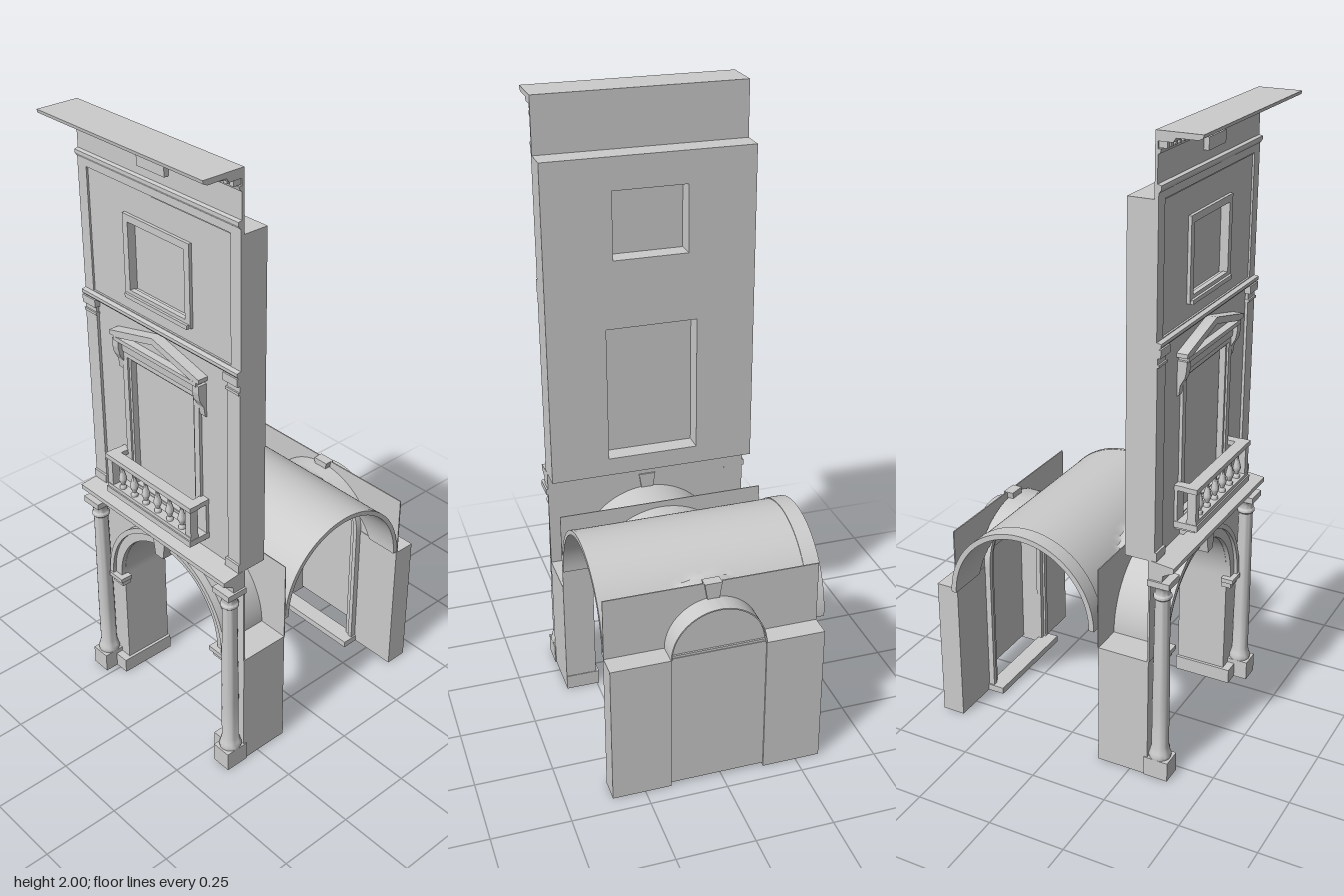
import * as THREE from 'three';
import { toCreasedNormals } from 'three/addons/utils/BufferGeometryUtils.js';

const C = 0.0125, X0 = -0.33, X1 = 0.355; // facade axis and ends
const mat = new THREE.MeshStandardMaterial({ color: 0xcccccc, side: THREE.DoubleSide });

export function createModel() {
  const root = new THREE.Group();
  const add = (name, geo, x = 0, y = 0, z = 0) => {
    const m = new THREE.Mesh(geo, mat);
    m.name = name;
    m.position.set(x, y, z);
    root.add(m);
    return m;
  };
  const box = (name, x0, x1, y0, y1, z0, z1) =>
    add(name, new THREE.BoxGeometry(x1 - x0, y1 - y0, z1 - z0), (x0 + x1) / 2, (y0 + y1) / 2, (z0 + z1) / 2);
  // box given by distances from the axis, on both sides
  const pair = (name, a, b, ...r) => { box(name, C + a, C + b, ...r); box(name, C - b, C - a, ...r); };
  const poly = pts => new THREE.Shape(pts.map(p => new THREE.Vector2(...p)));
  const rect = (x0, x1, y0, y1) => poly([[x0, y0], [x1, y0], [x1, y1], [x0, y1]]);
  const slab = (name, shape, z0, z1) =>
    add(name, toCreasedNormals(new THREE.ExtrudeGeometry(shape, { depth: z1 - z0, bevelEnabled: false, curveSegments: 32 }), 0.6), 0, 0, z0);
  // moulding: [z, y] profile run along x
  const mould = (name, pts, x0 = X0, x1 = X1) =>
    add(name, new THREE.ExtrudeGeometry(poly(pts), { depth: x1 - x0, bevelEnabled: false }).rotateY(-Math.PI / 2), x1);
  const lathe = (name, pts, x, y, z, n = 20) =>
    add(name, toCreasedNormals(new THREE.LatheGeometry(pts.map(p => new THREE.Vector2(...p)), n), 0.7), x, y, z);
  // arch-shaped band with optional straight legs
  const archBand = (name, r0, r1, cy, legY, z0, z1) => {
    const s = new THREE.Shape();
    s.moveTo(C + r1, legY); s.lineTo(C + r1, cy);
    s.absarc(C, cy, r1, 0, Math.PI, false);
    s.lineTo(C - r1, legY); s.lineTo(C - r0, legY); s.lineTo(C - r0, cy);
    s.absarc(C, cy, r0, Math.PI, 0, true);
    s.lineTo(C + r0, legY);
    slab(name, s, z0, z1);
  };
  // wall above the springing, with a half-round opening
  const spandrel = (name, r, y0, y1, z0, z1) => {
    const s = new THREE.Shape();
    s.moveTo(X0, y0); s.lineTo(C - r, y0);
    s.absarc(C, y0, r, Math.PI, 0, true);
    s.lineTo(X1, y0); s.lineTo(X1, y1); s.lineTo(X0, y1);
    slab(name, s, z0, z1);
  };
  const keystone = (y0, y1, z0, z1) =>
    slab('keystone', poly([[C - 0.018, y0], [C + 0.018, y0], [C + 0.028, y1], [C - 0.028, y1]]), z0, z1);
  const frame = (name, hw, y0, y1, t, z0, z1) => {
    const s = rect(C - hw, C + hw, y0, y1);
    s.holes.push(rect(C - hw + t, C + hw - t, y0 + t, y1 - t));
    slab(name, s, z0, z1);
  };

  // Ground floor: front piers, arch and columns
  pair('frontPier', 0.24, 0.3425, 0, 0.41, 0.14, 0.31);
  pair('pierBase', 0.23, 0.3425, 0, 0.05, 0.138, 0.335);
  pair('pierImpost', 0.225, 0.275, 0.375, 0.395, 0.3, 0.332);
  pair('pierImpostTop', 0.218, 0.282, 0.395, 0.41, 0.3, 0.342);
  spandrel('frontSpandrel', 0.24, 0.41, 0.71, 0.306, 0.312);
  spandrel('innerSpandrel', 0.24, 0.41, 0.68, 0.138, 0.141);
  archBand('archSoffit', 0.237, 0.241, 0.41, 0.41, 0.14, 0.31);
  archBand('archivolt', 0.238, 0.283, 0.41, 0.41, 0.31, 0.325);
  archBand('archivoltRim', 0.268, 0.285, 0.41, 0.41, 0.31, 0.336);
  keystone(0.635, 0.7, 0.3, 0.352);
  for (const s of [-1, 1]) {
    const x = C + s * 0.313;
    box('columnPlinth', x - 0.033, x + 0.033, 0, 0.065, 0.3, 0.38);
    lathe('column', [[0.034, 0.065], [0.036, 0.075], [0.032, 0.085], [0.03, 0.095], [0.027, 0.105], [0.027, 0.25],
      [0.023, 0.625], [0.028, 0.63], [0.028, 0.638], [0.024, 0.643], [0.024, 0.66], [0.034, 0.675]], x, 0, 0.34);
    box('columnCapital', x - 0.036, x + 0.036, 0.675, 0.695, 0.305, 0.376);
  }
  mould('entablature', [[0.305, 0.69], [0.35, 0.69], [0.352, 0.715], [0.37, 0.725], [0.387, 0.733], [0.387, 0.748], [0.305, 0.757]]);

  // Vault: barrel along x crossed by lunettes over the front and back arches
  const HZ = 0.252, ZC = -0.115, SY = 0.48;
  const nx = 72, nt = 48, thick = 0.014, pos = [], idx = [];
  for (let i = 0; i <= nx; i++) {
    const x = -0.355 + 0.71 * i / nx;
    const d = (x - C) / 0.245;
    const lun = d * d < 1 ? 0.415 + 0.245 * Math.sqrt(1 - d * d) : 0;
    for (let k = 0; k < 2 * (nt + 1); k++) {
      const inner = k > nt;
      const a = Math.PI * (inner ? 2 * nt + 1 - k : k) / nt;
      const t = inner ? thick : 0;
      pos.push(x, Math.max(SY + (0.258 - t) * Math.sin(a), lun - t), ZC + (HZ - t) * Math.cos(a));
    }
  }
  const ring = 2 * (nt + 1);
  for (let i = 0; i < nx; i++) for (let k = 0; k < ring; k++) {
    const a = i * ring + k, b = i * ring + (k + 1) % ring;
    idx.push(a, b, a + ring, b, b + ring, a + ring);
  }
  const vault = new THREE.BufferGeometry();
  vault.setAttribute('position', new THREE.Float32BufferAttribute(pos, 3));
  vault.setIndex(idx);
  add('vault', toCreasedNormals(vault, 0.5));
  // Ribs closing the two ends of the vault
  const rib = (x0, x1, r) => {
    const s = new THREE.Shape();
    s.absellipse(ZC, SY, HZ + r, 0.258 + r, 0, Math.PI, false);
    s.lineTo(ZC - HZ + thick, SY);
    s.absellipse(ZC, SY, HZ - thick, 0.258 - thick, Math.PI, 0, true);
    const g = new THREE.ExtrudeGeometry(s, { depth: x1 - x0, bevelEnabled: false, curveSegments: 32 });
    add('vaultRib', toCreasedNormals(g.rotateY(-Math.PI / 2), 0.5), x1);
  };
  rib(-0.358, -0.305, 0.003);
  rib(0.345, 0.355, 0.001);

  // Back wall with arched doorway
  pair('backPier', 0.1525, 0.3425, 0, 0.475, -0.443, -0.368);
  spandrel('backSpandrel', 0.152, 0.475, 0.68, -0.374, -0.37);
  archBand('doorReveal', 0.149, 0.153, 0.475, 0.475, -0.443, -0.37);
  archBand('doorArchitrave', 0.148, 0.178, 0.475, 0.02, -0.372, -0.356);
  archBand('doorArchitraveRim', 0.165, 0.18, 0.475, 0.02, -0.372, -0.349);
  keystone(0.62, 0.68, -0.382, -0.348);
  box('doorStep', C - 0.185, C + 0.185, 0, 0.022, -0.37, -0.312);
  box('doorPanel', C - 0.153, C + 0.153, 0.01, 0.478, -0.438, -0.434);
  box('doorTransom', C - 0.15, C + 0.15, 0.47, 0.486, -0.436, -0.42);
  const lunette = new THREE.Shape();
  lunette.absarc(C, 0.475, 0.15, 0, Math.PI, false);
  slab('lunettePanel', lunette, -0.43, -0.426);

  // Upper storeys: thick wall with two window openings
  const wall = rect(X0, X1, 0.755, 1.82);
  wall.holes.push(rect(C - 0.15, C + 0.15, 0.815, 1.27), rect(C - 0.122, C + 0.122, 1.495, 1.715));
  slab('upperWall', wall, 0.23, 0.316);
  box('windowPane', C - 0.15, C + 0.15, 0.815, 1.27, 0.292, 0.298);
  box('atticWindowPane', C - 0.122, C + 0.122, 1.495, 1.715, 0.292, 0.298);

  // Middle storey: pilasters, window surround, pediment
  pair('pilaster', 0.29, 0.3425, 0.757, 1.385, 0.31, 0.325);
  pair('pilasterBase', 0.285, 0.3425, 0.757, 0.785, 0.31, 0.332);
  pair('pilasterNeck', 0.287, 0.3425, 1.355, 1.363, 0.31, 0.33);
  pair('pilasterCapital', 0.283, 0.3425, 1.383, 1.408, 0.31, 0.335);
  frame('windowFrame', 0.172, 0.8, 1.29, 0.022, 0.31, 0.326);
  frame('windowFrameInner', 0.155, 0.812, 1.275, 0.014, 0.3, 0.32);
  mould('windowEntablature', [[0.31, 1.285], [0.33, 1.285], [0.332, 1.31], [0.348, 1.322], [0.348, 1.335], [0.31, 1.337]], C - 0.185, C + 0.185);
  slab('pedimentField', poly([[C - 0.18, 1.335], [C + 0.18, 1.335], [C, 1.385]]), 0.31, 0.325);
  slab('pedimentRake', poly([[C - 0.2, 1.337], [C - 0.165, 1.337], [C, 1.379], [C + 0.165, 1.337], [C + 0.2, 1.337],
    [C + 0.2, 1.35], [C, 1.4], [C - 0.2, 1.35]]), 0.31, 0.35);
  for (const s of [-1, 1]) {
    const x = C + s * 0.18;
    mould('console', [[0.312, 1.215], [0.322, 1.22], [0.326, 1.25], [0.34, 1.275], [0.345, 1.3], [0.345, 1.325], [0.312, 1.325]], x - 0.014, x + 0.014);
  }

  // Balcony
  box('balconyFloor', C - 0.198, C + 0.198, 0.8, 0.82, 0.31, 0.392);
  box('balconyFloorLower', C - 0.188, C + 0.188, 0.79, 0.8, 0.31, 0.38);
  box('balconyRail', C - 0.2, C + 0.2, 0.922, 0.938, 0.352, 0.39);
  box('balconyCurb', C - 0.196, C + 0.196, 0.82, 0.832, 0.356, 0.388);
  pair('balconySideRail', 0.168, 0.198, 0.922, 0.938, 0.31, 0.36);
  pair('balconyPost', 0.172, 0.196, 0.82, 0.925, 0.358, 0.386);
  pair('balconyWallPost', 0.172, 0.196, 0.82, 0.925, 0.31, 0.326);
  for (let i = 0; i < 6; i++)
    lathe('baluster', [[0.011, 0], [0.011, 0.008], [0.006, 0.014], [0.013, 0.032], [0.012, 0.042], [0.005, 0.068],
      [0.006, 0.078], [0.011, 0.084], [0.011, 0.092]], C + (i - 2.5) * 0.056, 0.831, 0.372, 10);
  for (const s of [-1, 1]) {
    const x = C + s * 0.142;
    mould('balconyBracket', [[0.312, 0.757], [0.33, 0.757], [0.345, 0.775], [0.368, 0.792], [0.312, 0.792]], x - 0.012, x + 0.012);
  }

  // Attic storey: string course, raised border, window frame
  mould('stringCourse', [[0.31, 1.403], [0.328, 1.406], [0.336, 1.415], [0.336, 1.425], [0.31, 1.43]]);
  const border = rect(X0, X1, 1.425, 1.85);
  border.holes.push(rect(C - 0.303, C + 0.303, 1.43, 1.815));
  slab('atticBorder', border, 0.312, 0.322);
  frame('atticWindowFrame', 0.142, 1.477, 1.73, 0.022, 0.31, 0.326);
  box('atticWindowSill', C - 0.136, C + 0.136, 1.475, 1.488, 0.31, 0.334);

  // Crowning frieze and cornice
  box('friezeWall', X0, X1, 1.81, 1.985, 0.31, 0.318);
  mould('friezeBand', [[0.312, 1.835], [0.324, 1.838], [0.33, 1.848], [0.33, 1.858], [0.312, 1.862]]);
  mould('friezeUpperBand', [[0.312, 1.935], [0.324, 1.94], [0.328, 1.952], [0.312, 1.952]]);
  box('friezeTablet', C - 0.058, C + 0.058, 1.893, 1.93, 0.312, 0.334);
  for (let i = 0; i < 28; i++) {
    const x = X0 + 0.012 + i * 0.0245;
    box('dentil', x - 0.007, x + 0.007, 1.954, 1.974, 0.312, 0.342);
  }
  mould('cornice', [[0.31, 1.972], [0.36, 1.972], [0.368, 1.984], [0.43, 1.984], [0.443, 1.99], [0.445, 2], [0.31, 2]]);
  return root;
}
